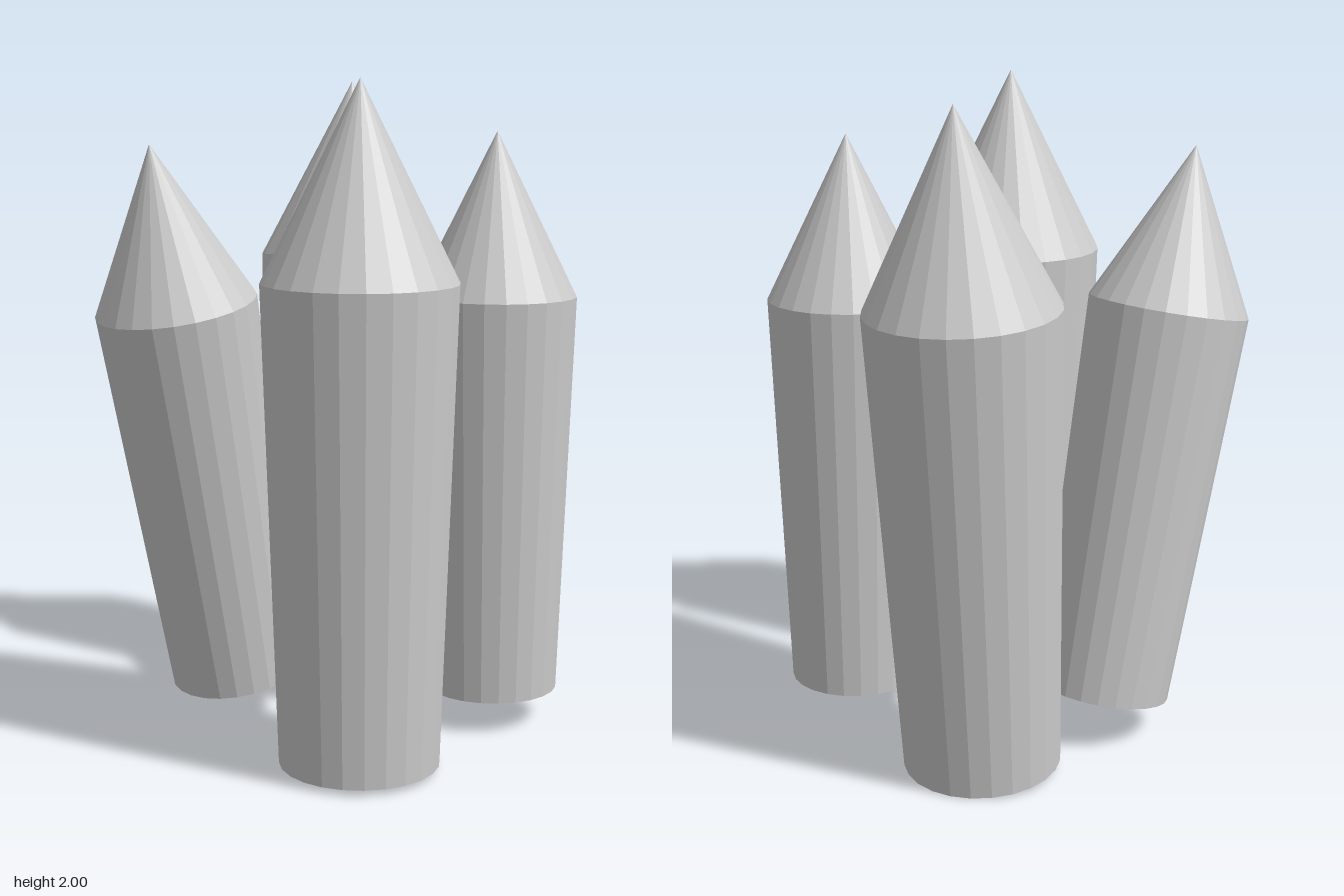
import * as THREE from 'three';

const UP = new THREE.Vector3(0, 1, 0);
const material = new THREE.MeshStandardMaterial({ color: 0xcccccc, flatShading: true });

// Tapered stake with a conical point, running from the centre of its base to its tip
function createStake(name, base, tip, bottomRadius, topRadius) {
  const start = new THREE.Vector3(...base);
  const axis = new THREE.Vector3(...tip).sub(start);
  const length = axis.length();
  const profile = [
    [0, 0],
    [bottomRadius, 0],
    [topRadius, length * 0.712],
    [0, length],
  ].map(([r, y]) => new THREE.Vector2(r, y));

  const stake = new THREE.Mesh(new THREE.LatheGeometry(profile, 24), material);
  stake.name = name;
  stake.position.copy(start);
  stake.quaternion.setFromUnitVectors(UP, axis.normalize());
  return stake;
}

export function createModel() {
  const group = new THREE.Group();
  group.name = 'stakes';
  group.add(
    // Upright front pair
    createStake('frontRightStake', [-0.3, 0.02, 0.325], [-0.3, 2, 0.325], 0.237, 0.284),
    createStake('frontLeftStake', [0.326, 0.105, 0.325], [0.326, 1.845, 0.325], 0.208, 0.25),
    // Leaning back pair
    createStake('backLeftStake', [0.276, 0.02, -0.286], [0.41, 1.995, -0.342], 0.237, 0.284),
    createStake('backRightStake', [-0.178, 0.135, -0.31], [-0.515, 1.81, -0.31], 0.206, 0.246),
  );
  return group;
}
